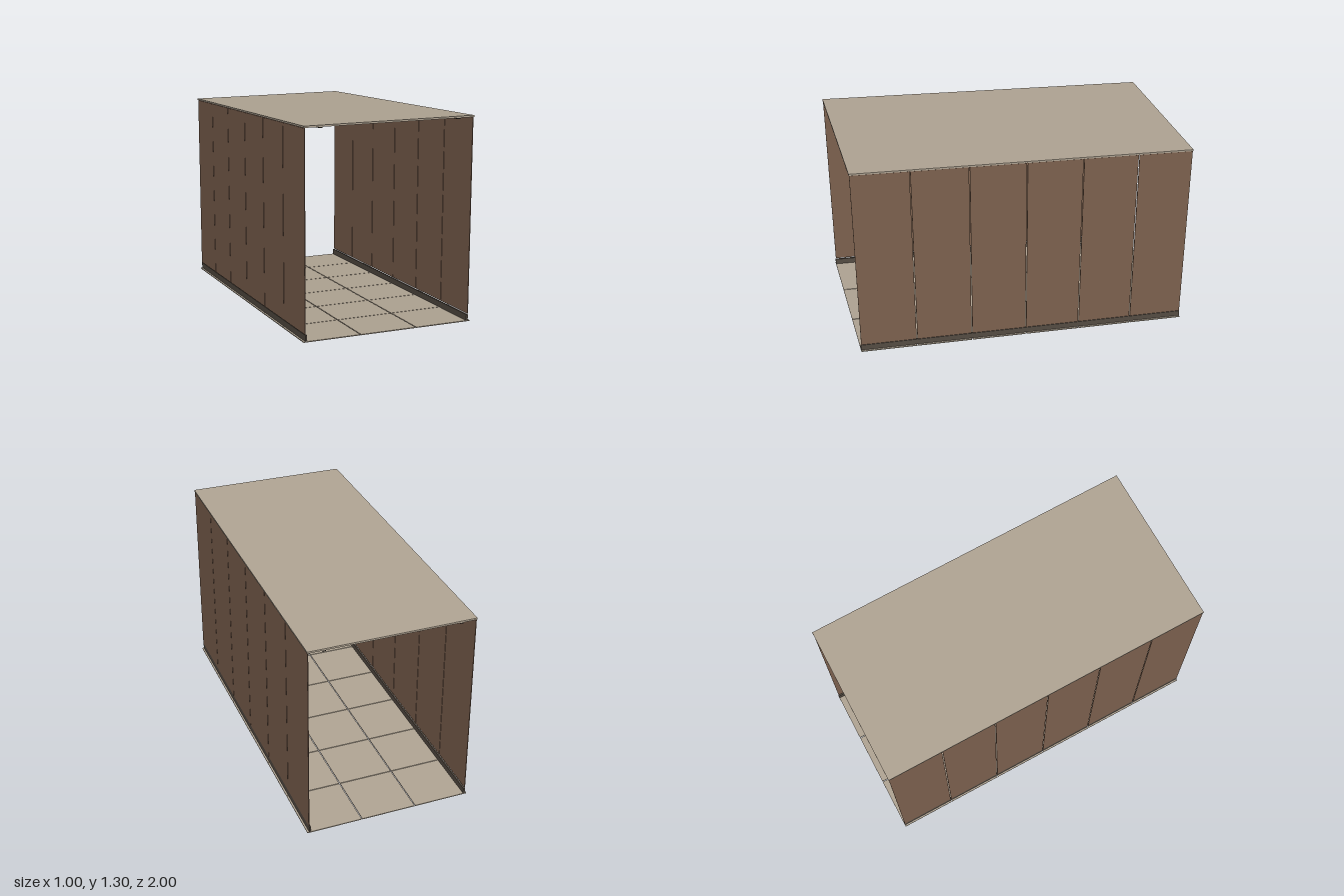
import * as THREE from 'three';

const SLOPE = 1 / 16; // the whole corridor climbs towards the front

// Shear a geometry so it follows the ramp, keeping end faces vertical
function ramp(geometry) {
  const p = geometry.attributes.position;
  for (let i = 0; i < p.count; i++) p.setY(i, p.getY(i) + (p.getZ(i) + 1) * SLOPE);
  geometry.computeVertexNormals();
  return geometry;
}

export function createModel() {
  const model = new THREE.Group();
  const material = (name, color) => {
    const m = new THREE.MeshStandardMaterial({ color });
    m.name = name;
    return m;
  };
  const beige = material('beige panel', 0xb0a493);
  const brown = material('brown wall', 0x7d614f);
  const dark = material('dark trim', 0x544c43);
  const black = material('black fitting', 0x25221e);

  const add = (name, geometry, mat, parent = model) => {
    const mesh = new THREE.Mesh(ramp(geometry), mat);
    mesh.name = name;
    parent.add(mesh);
  };
  // Box from its lower and upper corners at the back end of the ramp
  const box = (x0, x1, y0, y1, z0, z1) =>
    new THREE.BoxGeometry(x1 - x0, y1 - y0, z1 - z0)
      .translate((x0 + x1) / 2, (y0 + y1) / 2, (z0 + z1) / 2);
  const group = (name) => {
    const g = new THREE.Group();
    g.name = name;
    model.add(g);
    return g;
  };

  const step = 1 / 3, gap = 0.0025; // gap is half the seam width

  // Floor tiles with open seams
  const floor = group('floor');
  for (let row = 0; row < 6; row++) {
    const z = -1 + row * step;
    for (let col = 0; col < 3; col++) {
      const x = -0.5 + col * step;
      add('floorTile', box(x + (col ? gap : 0), x + step - (col < 2 ? gap : 0), 0, 0.005,
        z + (row ? gap : 0), z + step - (row < 5 ? gap : 0)), beige, floor);
    }
  }

  // Side walls: skirting below six separate panels
  for (const side of [-1, 1]) {
    const wall = group(side > 0 ? 'leftWall' : 'rightWall');
    const sideBox = (a, b, ...rest) => box(Math.min(side * a, side * b), Math.max(side * a, side * b), ...rest);
    add('skirting', sideBox(0.479, 0.489, 0.005, 0.04, -1, 1), dark, wall);
    for (let i = 0; i < 6; i++) {
      const z = -1 + i * step;
      add('wallPanel', sideBox(0.487, 0.491, 0.044, 1.161, z + gap, z + step - gap), brown, wall);
    }
  }

  // Ceiling slab
  add('roof', box(-0.494, 0.494, 1.163, 1.173, -1, 1), beige);

  // Light strips and ring fittings under the ceiling
  for (const x of [-0.4, 0.4]) add('ceilingStrip', box(x - 0.01, x + 0.01, 1.158, 1.163, -1, 1), black);
  for (const z of [-0.5, 0.5]) {
    add('ceilingRing', new THREE.TorusGeometry(0.023, 0.005, 8, 28)
      .rotateX(Math.PI / 2).translate(0, 1.16, z), black);
  }
  return model;
}
